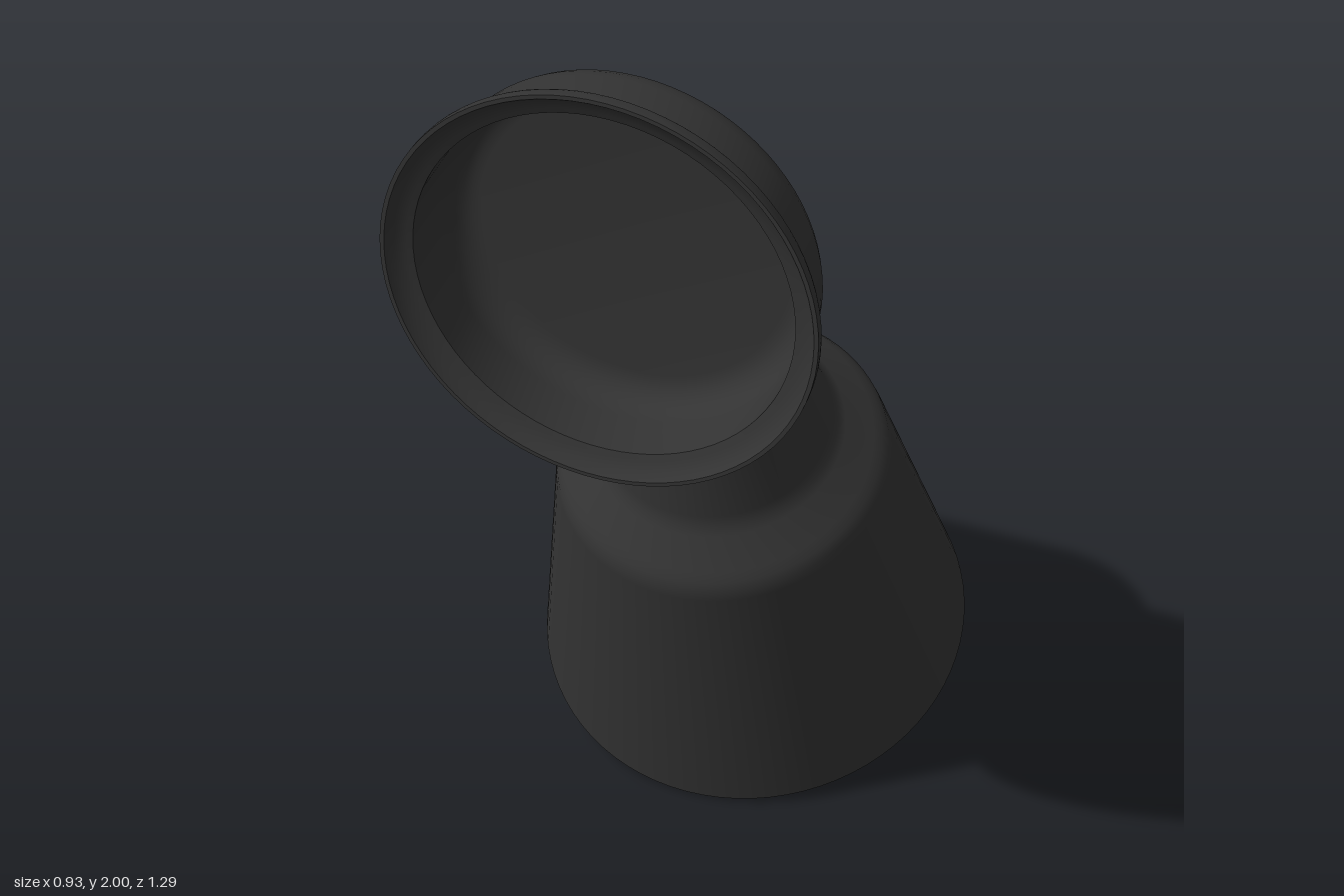
import * as THREE from 'three';
import { toCreasedNormals } from 'three/addons/utils/BufferGeometryUtils.js';

const black = new THREE.MeshStandardMaterial({ color: 0x333333, side: THREE.DoubleSide });
const cream = new THREE.MeshStandardMaterial({ color: 0xf0e6cc, side: THREE.DoubleSide });
const grey = new THREE.MeshStandardMaterial({ color: 0x999999, side: THREE.DoubleSide });

function add(parent, name, geometry, material = black) {
  const mesh = new THREE.Mesh(geometry, material);
  mesh.name = name;
  parent.add(mesh);
  return mesh;
}

// Surface of revolution from [radius, height] pairs, smooth except at sharp edges
function lathe(points, segments = 64) {
  const g = new THREE.LatheGeometry(points.map(([r, y]) => new THREE.Vector2(r, y)), segments);
  return toCreasedNormals(g, 0.6);
}

// Quarter-round corner between a side wall and a flat top
function roundOver(r, y, radius, steps = 6) {
  return Array.from({ length: steps + 1 }, (_, i) => {
    const a = (i / steps) * Math.PI / 2;
    return [r - radius + radius * Math.cos(a), y - radius + radius * Math.sin(a)];
  });
}

// Hollow wall cup, local y pointing away from the wall
function wallMount() {
  const mount = new THREE.Group();
  mount.name = 'wallMount';
  mount.position.set(0, 1.605, 0.65);
  mount.rotation.x = -Math.PI / 2;
  add(mount, 'wallCup', lathe([
    [0.392, 0], [0.4, 0], ...roundOver(0.4, 0.04, 0.028), [0.36, 0.04],
    ...roundOver(0.36, 0.2, 0.065), [0, 0.2],
    [0, 0.185], ...roundOver(0.35, 0.185, 0.06).reverse(),
    [0.35, 0.028], [0.36, 0.024], [0.38, 0.016], [0.392, 0],
  ], 80));
  for (const side of [-1, 1]) {
    const screw = add(mount, 'screw', lathe([[0.03, 0], ...roundOver(0.03, 0.035, 0.01, 3), [0, 0.035]], 24));
    screw.position.set(side * 0.225, 0.198, 0);
  }
  return mount;
}

// Two rounded knuckles with a toothed seam, turning about x
function swivel() {
  const joint = new THREE.Group();
  joint.name = 'swivelJoint';
  joint.position.set(-0.021, 1.61, 0.285);
  for (const side of [-1, 1]) {
    const half = add(joint, 'knuckle', lathe([
      [0, 0.003], [0.078, 0.003], [0.085, 0.01], ...roundOver(0.087, 0.078, 0.028), [0, 0.078],
    ], 40));
    half.rotation.z = -side * Math.PI / 2;
  }
  const toothShape = new THREE.BoxGeometry(0.012, 0.012, 0.01);
  for (let i = 0; i < 24; i++) {
    const a = (i / 24) * Math.PI * 2;
    const tooth = add(joint, 'tooth', toothShape);
    tooth.position.set(0, 0.076 * Math.cos(a), 0.076 * Math.sin(a));
    tooth.rotation.x = a;
  }
  return joint;
}

// Flat bar from the cup to the outer knuckle, rounded at the joint end
function wallArm() {
  const s = new THREE.Shape();
  s.moveTo(0.17, -0.037);
  s.lineTo(0.17, 0.037);
  s.lineTo(0, 0.037);
  s.absarc(0, 0, 0.037, Math.PI / 2, Math.PI * 1.5, false);
  const g = new THREE.ExtrudeGeometry(s, { depth: 0.018, bevelEnabled: false, curveSegments: 16 });
  g.rotateY(-Math.PI / 2);
  g.translate(-0.1, 1.605, 0.285);
  return g;
}

// Tapered stem: round at the shade cap, flattened and wider at the joint
function stem() {
  const g = new THREE.CylinderGeometry(0.083, 0.052, 0.22, 40, 4);
  const p = g.attributes.position;
  for (let i = 0; i < p.count; i++) {
    const t = p.getY(i) / 0.22 + 0.5;
    p.setX(i, p.getX(i) * (1.05 - 0.55 * t) + 0.015 * t);
  }
  g.translate(0, 1.41, 0);
  return toCreasedNormals(g, 0.6);
}

// Tilted lampshade, local origin at the centre of its open rim
function lampHead() {
  const head = new THREE.Group();
  head.name = 'lampHead';
  head.position.set(0, 0.155, -0.205);
  head.rotation.x = 0.328;
  add(head, 'shade', lathe([
    [0.447, 0.004], [0.453, 0], [0.462, 0], [0.466, 0.006],
    [0.345, 0.64], [0.34, 0.661], [0.328, 0.68], [0.312, 0.695],
    [0.258, 0.742], [0.244, 0.757], [0.235, 0.78],
    [0.118, 1.195], [0, 1.195],
  ], 80));
  add(head, 'shadeLining', lathe([[0.33, 0.62], [0.447, 0.004]], 80), cream);
  add(head, 'lampFace', lathe([
    [0, 0.27], [0.1, 0.272], [0.2, 0.278], [0.3, 0.288], [0.37, 0.298], [0.394, 0.31],
  ]), grey);
  add(head, 'shadeCap', lathe([
    [0.112, 1.19], [0.121, 1.196], [0.122, 1.208], [0.114, 1.235],
    [0.099, 1.268], [0.078, 1.298], [0.056, 1.322], [0, 1.326],
  ], 48));
  add(head, 'stem', stem());
  return head;
}

export function createModel() {
  const model = new THREE.Group();
  model.name = 'wallLamp';
  model.add(wallMount(), swivel(), lampHead());
  add(model, 'wallArm', wallArm());
  return model;
}
